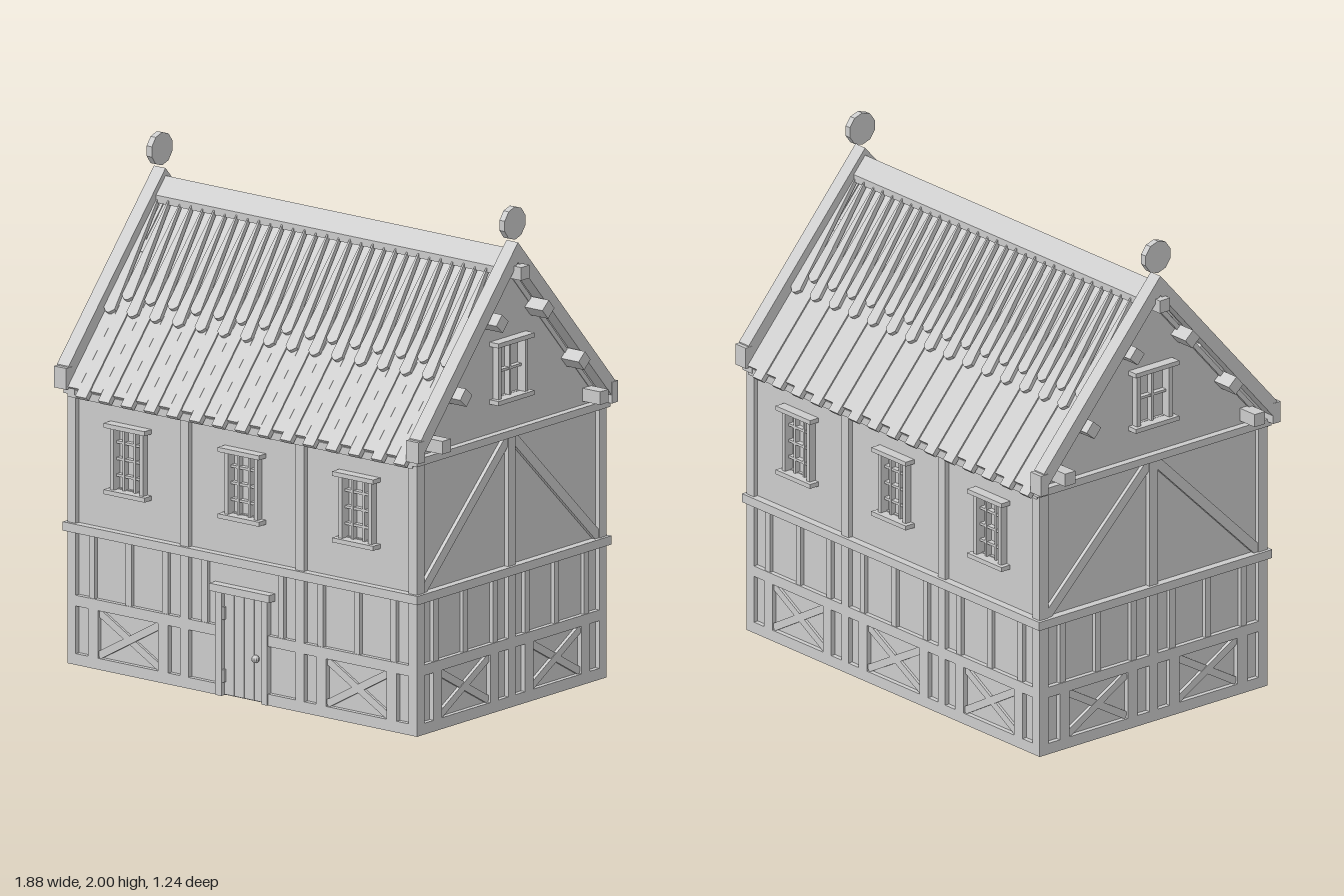
import * as THREE from 'three';

const material = new THREE.MeshStandardMaterial({ color: 0xcccccc, flatShading: true });
const HX = 0.872, HZ = 0.577;   // half length and half depth of the timber frame
const APEX = 1.86, TAN = 1.136; // roof top and pitch
const IN = -0.045;              // inner face of the beams

function add(parent, name, geometry) {
  const mesh = new THREE.Mesh(geometry, material);
  mesh.name = name;
  parent.add(mesh);
  return mesh;
}

// Box given by its limits; in a wall group x runs along the wall and z points outward
function bar(g, name, x0, x1, y0, y1, z0 = IN, z1 = 0) {
  add(g, name, new THREE.BoxGeometry(x1 - x0, y1 - y0, z1 - z0))
    .position.set((x0 + x1) / 2, (y0 + y1) / 2, (z0 + z1) / 2);
}

// Sloping brace between two points of a wall
function brace(g, x0, y0, x1, y1, width, z0, z1) {
  const length = Math.hypot(x1 - x0, y1 - y0);
  const m = add(g, 'brace', new THREE.BoxGeometry(length, width, z1 - z0));
  m.position.set((x0 + x1) / 2, (y0 + y1) / 2, (z0 + z1) / 2);
  m.rotation.z = Math.atan2(y1 - y0, x1 - x0);
}

const shapeOf = points => new THREE.Shape(points.map(p => new THREE.Vector2(...p)));

function extrude(points, depth, holes = []) {
  const shape = shapeOf(points);
  for (const [x, y, w, h] of holes) {
    shape.holes.push(shapeOf([[x - w / 2, y - h / 2], [x - w / 2, y + h / 2],
      [x + w / 2, y + h / 2], [x + w / 2, y - h / 2]]));
  }
  return new THREE.ExtrudeGeometry(shape, { depth, bevelEnabled: false });
}

// Frame, sill, lintel, pane and glazing bars
function addWindow(parent, x, y, w, h, columns, rows) {
  const g = new THREE.Group();
  g.name = 'window';
  g.position.set(x, y, 0);
  parent.add(g);
  const a = w / 2, b = h / 2, t = 0.018;
  bar(g, 'windowPane', -a, a, -b, b, -0.036, -0.032);
  for (const s of [-1, 1]) {
    bar(g, 'windowJamb', s * (a - t / 2) - t / 2, s * (a - t / 2) + t / 2, -b, b, IN, 0.008);
    bar(g, 'windowSill', -a - 0.02, a + 0.02, s * b - 0.009, s * b + 0.009, IN, 0.024);
  }
  for (let i = 1; i < columns; i++) {
    const u = -a + w * i / columns;
    bar(g, 'glazingBar', u - 0.005, u + 0.005, -b, b, -0.04, -0.008);
  }
  for (let i = 1; i < rows; i++) {
    const v = -b + h * i / rows;
    bar(g, 'glazingBar', -a, a, v - 0.005, v + 0.005, -0.04, -0.01);
  }
}

// Ground floor bay: studs over a rail, crossed braces beneath
function lowerBay(g, a, b) {
  bar(g, 'sillBeam', a, b, 0, 0.045);
  bar(g, 'rail', a, b, 0.235, 0.278);
  for (const f of [0.15, 0.5, 0.85]) {
    const u = a + (b - a) * f;
    bar(g, 'stud', u - 0.014, u + 0.014, 0.278, 0.535, IN, -0.003);
  }
  const l = a + 0.11, r = b - 0.11;
  bar(g, 'shortPost', a + 0.06, l, 0.045, 0.235);
  bar(g, 'shortPost', r, b - 0.06, 0.045, 0.235);
  brace(g, l, 0.055, r, 0.225, 0.03, IN, -0.006);
  brace(g, l, 0.225, r, 0.055, 0.03, IN + 0.003, -0.009);
}

function wallGroup(parent, name, angle, distance) {
  const g = new THREE.Group();
  g.name = name;
  g.rotation.y = angle;
  g.position.set(Math.sin(angle) * distance, 0, Math.cos(angle) * distance);
  parent.add(g);
  return g;
}

function addDoor(g) {
  for (let i = 0; i < 4; i++) {
    const u = -0.1 + i * 0.05;
    bar(g, 'doorPlank', u + 0.001, u + 0.049, 0.004, 0.415, -0.04, -0.012);
  }
  bar(g, 'doorJamb', -0.132, -0.1, 0, 0.415, IN, 0.005);
  bar(g, 'doorJamb', 0.1, 0.128, 0, 0.415, IN, 0.005);
  bar(g, 'doorLintel', -0.15, 0.148, 0.415, 0.445, IN, 0.018);
  for (const y of [0.08, 0.33]) bar(g, 'doorHinge', -0.102, -0.09, y - 0.025, y + 0.025, -0.02, 0.002);
  add(g, 'doorKnob', new THREE.SphereGeometry(0.016, 10, 8)).position.set(0.068, 0.175, 0.002);
}

// Front or back wall
function longWall(parent, name, angle, hasDoor) {
  const g = wallGroup(parent, name, angle, HZ);
  const e = HX - 0.02, xs = [-0.57, 0, 0.57];
  add(g, 'wallPanel', extrude([[-e, 0], [e, 0], [e, 1.12], [-e, 1.12]], 0.014,
    xs.map(x => [x, 0.855, 0.14, 0.24]))).position.z = -0.034;
  for (const x of xs) addWindow(g, x, 0.855, 0.165, 0.265, 3, 4);
  for (const x of [-HX + 0.021, -0.288, 0.288, HX - 0.021]) bar(g, 'post', x - 0.021, x + 0.021, 0, 1.1);
  bar(g, 'storeyBand', -HX - 0.012, HX + 0.012, 0.53, 0.565, IN, 0.013);
  bar(g, 'wallPlate', -HX, HX, 1.07, 1.105);
  lowerBay(g, -0.83, -0.309);
  lowerBay(g, 0.309, 0.83);
  if (!hasDoor) return lowerBay(g, -0.267, 0.267);
  for (const s of [-1, 1]) {
    const near = s < 0 ? -0.267 : 0.128, far = s < 0 ? -0.128 : 0.267;
    bar(g, 'sillBeam', near, far, 0, 0.045);
    bar(g, 'rail', near, far, 0.235, 0.278);
    bar(g, 'stud', s * 0.19 - 0.014, s * 0.19 + 0.014, 0.278, 0.535, IN, -0.003);
  }
  addDoor(g);
}

// Gable end wall
function gableWall(parent, name, angle) {
  const g = wallGroup(parent, name, angle, HX);
  const e = HZ - 0.02;
  add(g, 'gablePanel', extrude([[-e, 0], [e, 0], [e, 1.13], [0, 1.77], [-e, 1.13]], 0.014,
    [[0, 1.352, 0.15, 0.21]])).position.z = -0.034;
  addWindow(g, 0, 1.352, 0.18, 0.23, 2, 2);
  bar(g, 'post', -0.021, 0.021, 0, 1.09);
  bar(g, 'storeyBand', -HZ - 0.012, HZ + 0.012, 0.53, 0.565, IN, 0.013);
  bar(g, 'tieBeam', -HZ - 0.012, HZ + 0.012, 1.08, 1.11, IN, 0.01);
  for (const s of [-1, 1]) {
    lowerBay(g, s < 0 ? -0.535 : 0.021, s < 0 ? -0.021 : 0.535);
    brace(g, s * 0.54, 0.565, s * 0.015, 1.075, 0.04, IN + 0.003, -0.004);
  }
  // purlin ends
  for (const [u, y, tilted] of [[0, 1.745, 0], [0.14, 1.57, 1], [0.36, 1.32, 1], [0.48, 1.15, 0]]) {
    for (const s of u ? [-1, 1] : [1]) {
      const m = add(g, 'purlinEnd', new THREE.BoxGeometry(0.052, 0.052, 0.12));
      m.position.set(s * u, y, 0.008);
      m.rotation.z = tilted ? -s * Math.atan(TAN) : 0;
    }
  }
}

// Inverted V running along x
function chevron(parent, name, top, reach, thickness, x0, x1) {
  const low = top - TAN * reach;
  const geometry = extrude([[0, top], [-reach, low], [-reach, low - thickness], [0, top - thickness],
    [reach, low - thickness], [reach, low]], x1 - x0);
  geometry.rotateY(-Math.PI / 2);
  add(parent, name, geometry).position.x = x1;
}

// Two overlapping rows of planks on one side of the roof
function roofSlope(parent, name, angle) {
  const side = new THREE.Group(), plane = new THREE.Group();
  side.name = name;
  side.rotation.y = angle;
  plane.position.y = APEX;
  plane.rotation.x = Math.atan(TAN) - Math.PI / 2;
  parent.add(side);
  side.add(plane);
  const n = 30, w = 1.7 / n, h = w / 2 - 0.0015;
  for (let i = 0; i < n; i++) {
    const x = -0.85 + (i + 0.5) * w, odd = i % 2;
    const end = odd ? 0.99 : 0.957, tip = odd ? 0.56 : 0.625;
    const lift = odd ? 0.003 : 0;
    bar(plane, 'lowerPlank', x - h, x + h, -end, -0.45, -0.066, -0.047 + lift);
    add(plane, 'upperPlank', extrude([[x - h, -0.07], [x - h, -tip + 0.018], [x - h * 0.4, -tip + 0.003],
      [x, -tip], [x + h * 0.4, -tip + 0.003], [x + h, -tip + 0.018]], 0.018 + lift)).position.z = -0.049;
  }
}

export function createModel() {
  const house = new THREE.Group();
  house.name = 'timberHouse';
  const body = new THREE.Group();
  body.name = 'body';
  body.position.x = 0.005;
  house.add(body);
  longWall(body, 'frontWall', 0, true);
  longWall(body, 'backWall', Math.PI, false);
  gableWall(body, 'leftGable', Math.PI / 2);
  gableWall(body, 'rightGable', -Math.PI / 2);

  const roof = new THREE.Group();
  roof.name = 'roof';
  house.add(roof);
  chevron(roof, 'roofDeck', 1.762, 0.585, 0.03, -0.86, 0.86);
  chevron(roof, 'ridgeCap', 1.83, 0.058, 0.03, -0.86, 0.86);
  roofSlope(roof, 'frontSlope', 0);
  roofSlope(roof, 'backSlope', Math.PI);
  for (const s of [-1, 1]) {
    const x0 = s < 0 ? -0.908 : 0.85, x1 = s < 0 ? -0.85 : 0.908;
    chevron(roof, 'bargeBoard', APEX, 0.59, 0.08, x0, x1);
    for (const z of [-0.588, 0.588]) bar(roof, 'bargeFoot', x0 - 0.002, x1 + 0.002, 1.1, 1.185, z - 0.019, z + 0.019);
    const disc = new THREE.CylinderGeometry(0.066, 0.066, 0.026, 10).rotateZ(Math.PI / 2).rotateX(Math.PI / 2);
    add(roof, 'finial', disc).position.set(s * 0.88, 1.934, 0);
  }
  return house;
}
